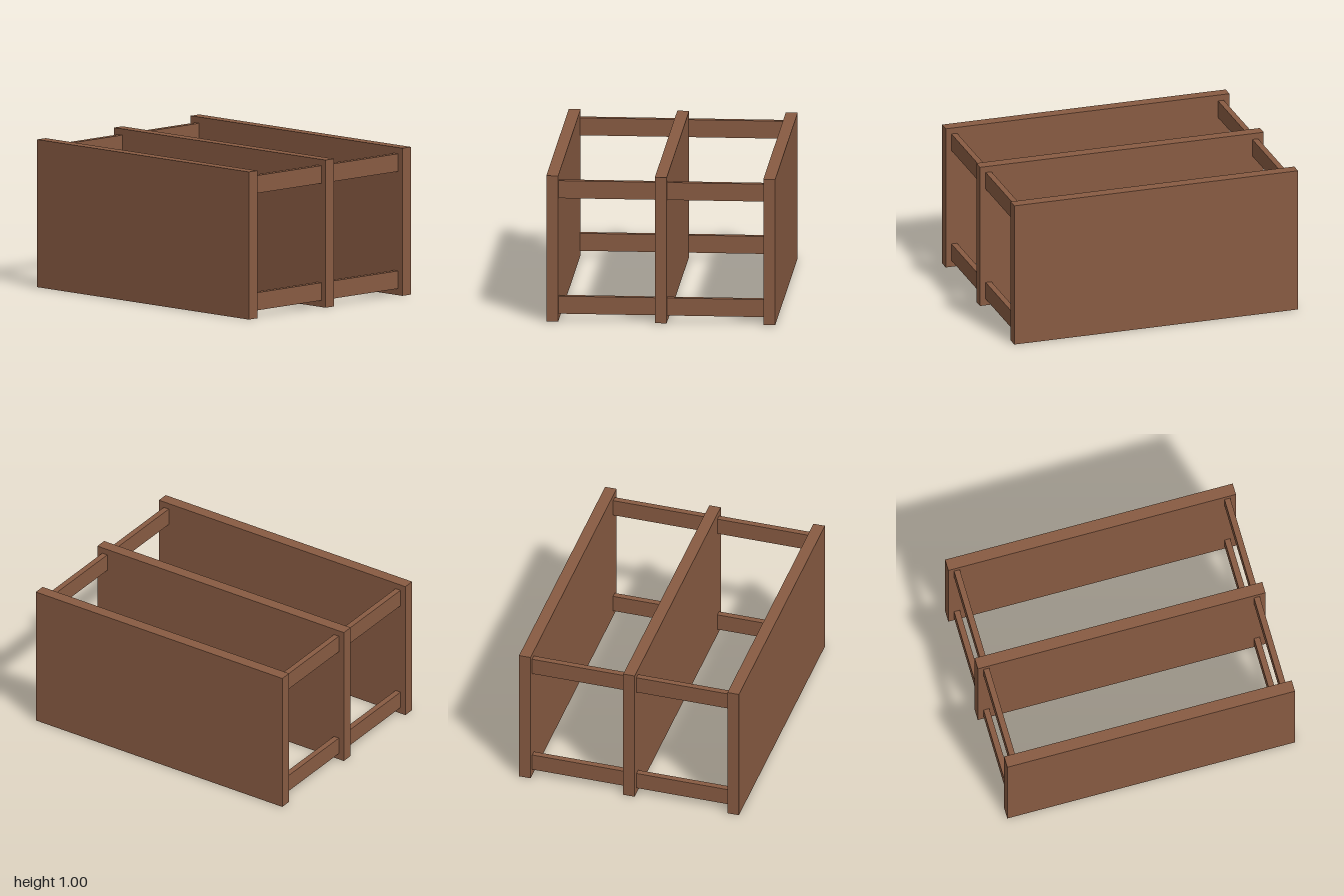
import * as THREE from 'three';

export function createModel() {
  const model = new THREE.Group();
  model.name = 'panelRack';
  const wood = new THREE.MeshStandardMaterial({ color: 0x885b42 });
  wood.name = 'brown wood';

  const addBoard = (name, size, position) => {
    const board = new THREE.Mesh(new THREE.BoxGeometry(...size), wood);
    board.name = name;
    board.position.set(...position);
    model.add(board);
  };

  const thickness = 0.08;
  const spacing = 0.728;

  // Three upright panels
  [['backPanel', -1], ['middlePanel', 0], ['frontPanel', 1]].forEach(([name, i]) =>
    addBoard(name, [2, 1, thickness], [0, 0.5, i * spacing]));

  // Upper and lower rails bridging each gap at both ends
  for (const [side, sx] of [['left', 1], ['right', -1]])
    for (const [bay, sz] of [['Front', 1], ['Back', -1]])
      for (const [level, y] of [['Lower', 0.105], ['Upper', 0.898]])
        addBoard(`${side}${bay}${level}Rail`, [0.04, 0.12, spacing - thickness],
          [sx * 0.94, y, sz * spacing / 2]);

  return model;
}
